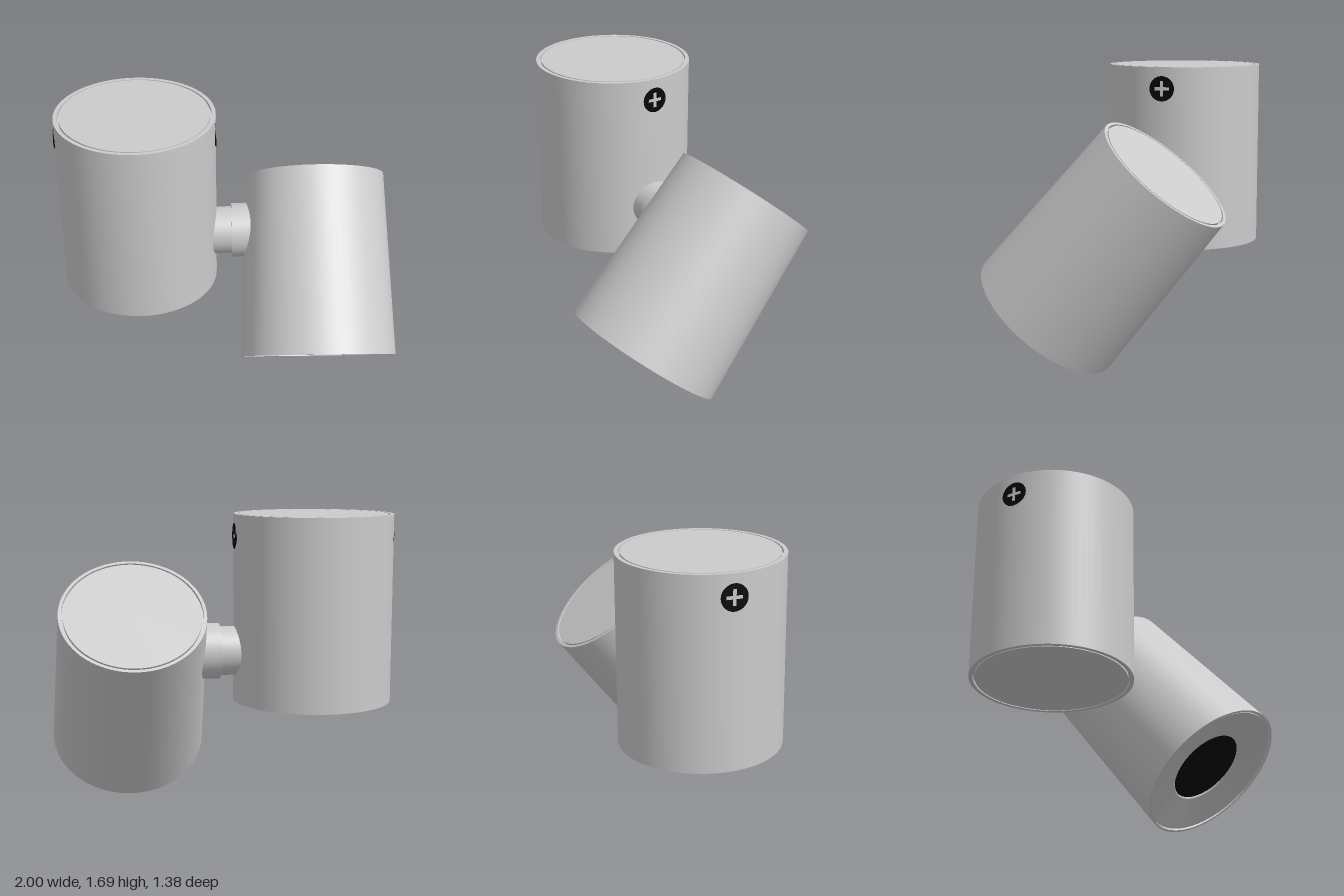
import * as THREE from 'three';
import { toCreasedNormals } from 'three/addons/utils/BufferGeometryUtils.js';

const grey = new THREE.MeshStandardMaterial({ color: 0xcccccc });
const black = new THREE.MeshStandardMaterial({ color: 0x080808 });

function addMesh(parent, name, geometry, material = grey) {
  const mesh = new THREE.Mesh(geometry, material);
  mesh.name = name;
  parent.add(mesh);
  return mesh;
}

// Profile runs from the bottom axis, up the outside, to the top axis.
function lathe(profile, segments = 72) {
  const points = profile.map(([r, y]) => new THREE.Vector2(r, y));
  return toCreasedNormals(new THREE.LatheGeometry(points, segments), 0.2);
}

// End face with a narrow groove between the rim and the cap, from rim inwards.
function groovedEnd(radius, y, inward, rim = 0.023) {
  const inner = radius - rim, gap = 0.009, depth = y + inward * 0.02;
  return [[radius, y], [inner, y], [inner, depth], [inner - gap, depth], [inner - gap, y], [0, y]];
}

// Round screw head with a cross-shaped recess, facing +z.
function screwHead() {
  const head = new THREE.Shape().absarc(0, 0, 0.075, 0, Math.PI * 2, false);
  const a = 0.01, b = 0.045;
  const cross = [[a, b], [a, a], [b, a], [b, -a], [a, -a], [a, -b],
    [-a, -b], [-a, -a], [-b, -a], [-b, a], [-a, a], [-a, b]];
  head.holes.push(new THREE.Path(cross.map(([x, y]) => new THREE.Vector2(x, y))));
  return new THREE.ExtrudeGeometry(head, { depth: 0.03, bevelEnabled: false, curveSegments: 24 });
}

export function createModel() {
  const model = new THREE.Group();
  model.name = 'spotlight';
  const axisZ = -0.16, hingeY = 0.894;

  // Upright mounting housing
  const housing = new THREE.Group();
  housing.name = 'mountingHousing';
  housing.position.set(-0.535, 0.597, axisZ);
  model.add(housing);
  const R = 0.465, H = 1.096;
  addMesh(housing, 'housingBody', lathe([
    ...groovedEnd(R, 0, 1).reverse(),
    ...groovedEnd(R, H, -1),
  ]));

  // Fixing screws on both sides
  for (const side of [-1, 1]) {
    const screw = new THREE.Group();
    screw.name = side > 0 ? 'leftScrew' : 'rightScrew';
    screw.position.set(side * (R - 0.029), 0.968, 0.005);
    screw.rotation.y = side * Math.PI / 2;
    addMesh(screw, 'screwHead', screwHead(), black);
    addMesh(screw, 'screwRecess', new THREE.CircleGeometry(0.07, 24), black).position.z = 0.015;
    housing.add(screw);
  }

  // Stepped swivel joint between the two bodies
  const joint = addMesh(model, 'swivelJoint', lathe([
    [0, 0], [0.143, 0], [0.143, 0.17], [0.163, 0.17], [0.163, 0.36], [0, 0.36],
  ], 48));
  joint.rotation.z = -Math.PI / 2;
  joint.position.set(-0.15, hingeY, axisZ);

  // Tilted lamp head, slightly wider at the light opening
  const lamp = new THREE.Group();
  lamp.name = 'lampHead';
  lamp.position.set(0.533, 0.305, 0.335);
  lamp.rotation.x = -THREE.MathUtils.degToRad(40);
  model.add(lamp);
  addMesh(lamp, 'lampBody', lathe([
    [0.237, 0.075], [0.237, 0.056], [0.243, 0.05], [0.443, 0.006],
    [0.443, 0.018], [0.451, 0.018], [0.451, 0],
    [R, 0],
    ...groovedEnd(0.419, 1.097, -1, 0.018),
  ]));

  // Dark lens behind the opening
  const lens = addMesh(lamp, 'lens', new THREE.CircleGeometry(0.238, 64), black);
  lens.rotation.x = Math.PI / 2;
  lens.position.y = 0.06;

  return model;
}
